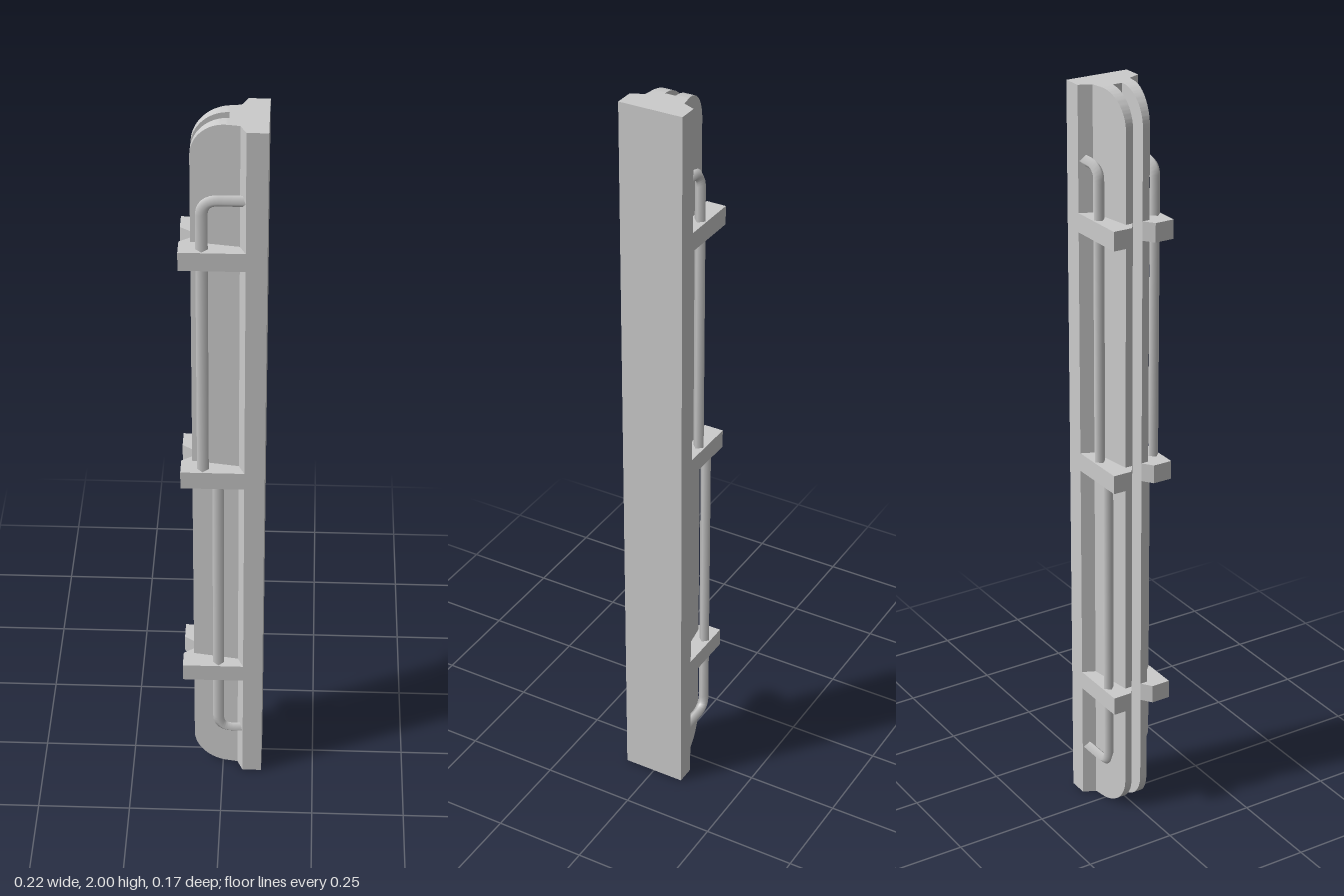
import * as THREE from 'three';
import { mergeGeometries, toCreasedNormals } from 'three/addons/utils/BufferGeometryUtils.js';

const material = new THREE.MeshStandardMaterial({ color: 0xcccccc });
const H = 2;          // full height
const SLOT = 0.014;   // half width of the slot between the jaws

function add(group, name, geometry) {
  const mesh = new THREE.Mesh(geometry, material);
  mesh.name = name;
  group.add(mesh);
  return mesh;
}

// Prism from a plan outline of [x, z] points, standing from y0 up to y0 + height
function prism(points, y0, height) {
  const shape = new THREE.Shape(points.map(([x, z]) => new THREE.Vector2(x, -z)));
  const g = new THREE.ExtrudeGeometry(shape, { depth: height, bevelEnabled: false });
  return g.rotateX(-Math.PI / 2).translate(0, y0, 0);
}

// Long side plate with rounded outer corners, tapering thinner toward its free edge
function jaw(side) {
  const x0 = -0.08, x1 = 0.045, r = 0.09;
  const s = new THREE.Shape();
  s.moveTo(x1, 0);
  s.lineTo(x1, H);
  s.lineTo(x0 + r, H);
  s.absarc(x0 + r, H - r, r, Math.PI / 2, Math.PI, false);
  s.lineTo(x0, r);
  s.absarc(x0 + r, r, r, Math.PI, Math.PI * 1.5, false);
  const g = new THREE.ExtrudeGeometry(s, { depth: 1, bevelEnabled: false, curveSegments: 16 });
  const p = g.attributes.position;
  for (let i = 0; i < p.count; i++) {
    const outer = 0.034 + (p.getX(i) - x0) / 0.12 * 0.019;
    const d = p.getZ(i);
    p.setZ(i, side > 0 ? SLOT + d * (outer - SLOT) : -outer + d * (outer - SLOT));
  }
  return toCreasedNormals(g, 0.5);
}

// Bent rod: out of the spine, round a bend, then along the plate to the middle clamp
function rod(x, yEnd, z) {
  const v = (a, b) => new THREE.Vector3(a, b, z);
  const r = 0.04, dir = Math.sign(1 - yEnd);
  const a = v(x + r, yEnd), b = v(x, yEnd + dir * r);
  const tube = (curve, n) => new THREE.TubeGeometry(curve, n, 0.015, 4);
  return mergeGeometries([
    tube(new THREE.LineCurve3(v(0.056, yEnd), a), 1),
    tube(new THREE.QuadraticBezierCurve3(a, v(x, yEnd), b), 8),
    tube(new THREE.LineCurve3(b, v(x, 1)), 1),
  ]);
}

export function createModel() {
  const model = new THREE.Group();
  model.name = 'slottedRail';

  // Spine with bevelled shoulders, and the floor of the slot
  add(model, 'spine', prism([
    [0.107, 0.086], [0.107, -0.086], [0.055, -0.086],
    [0.04, -0.053], [0.04, 0.053], [0.055, 0.086],
  ], 0, H));
  add(model, 'slotFloor', prism([
    [0.013, SLOT], [0.045, SLOT], [0.045, -SLOT], [0.013, -SLOT],
  ], 0, H));

  for (const side of [1, -1]) {
    const name = side > 0 ? 'front' : 'back';
    add(model, name + 'Jaw', jaw(side));

    // Three clamps with bevelled lead-in tips
    const outline = [
      [0.055, 0.086], [-0.108, 0.086], [-0.108, 0.034],
      [-0.08, SLOT], [-0.078, 0.02], [0.055, 0.02],
    ].map(([x, z]) => [x, z * side]);
    for (const y of [0.355, 1.003, 1.652]) {
      add(model, name + 'Clamp', prism(outline, y - 0.025, 0.05));
    }

    // Upper and lower rods swap their offset from one side to the other
    const far = -0.051, near = -0.012;
    add(model, name + 'UpperRod', rod(side > 0 ? far : near, 1.81, side * 0.068));
    add(model, name + 'LowerRod', rod(side > 0 ? near : far, 0.145, side * 0.068));
  }
  return model;
}
